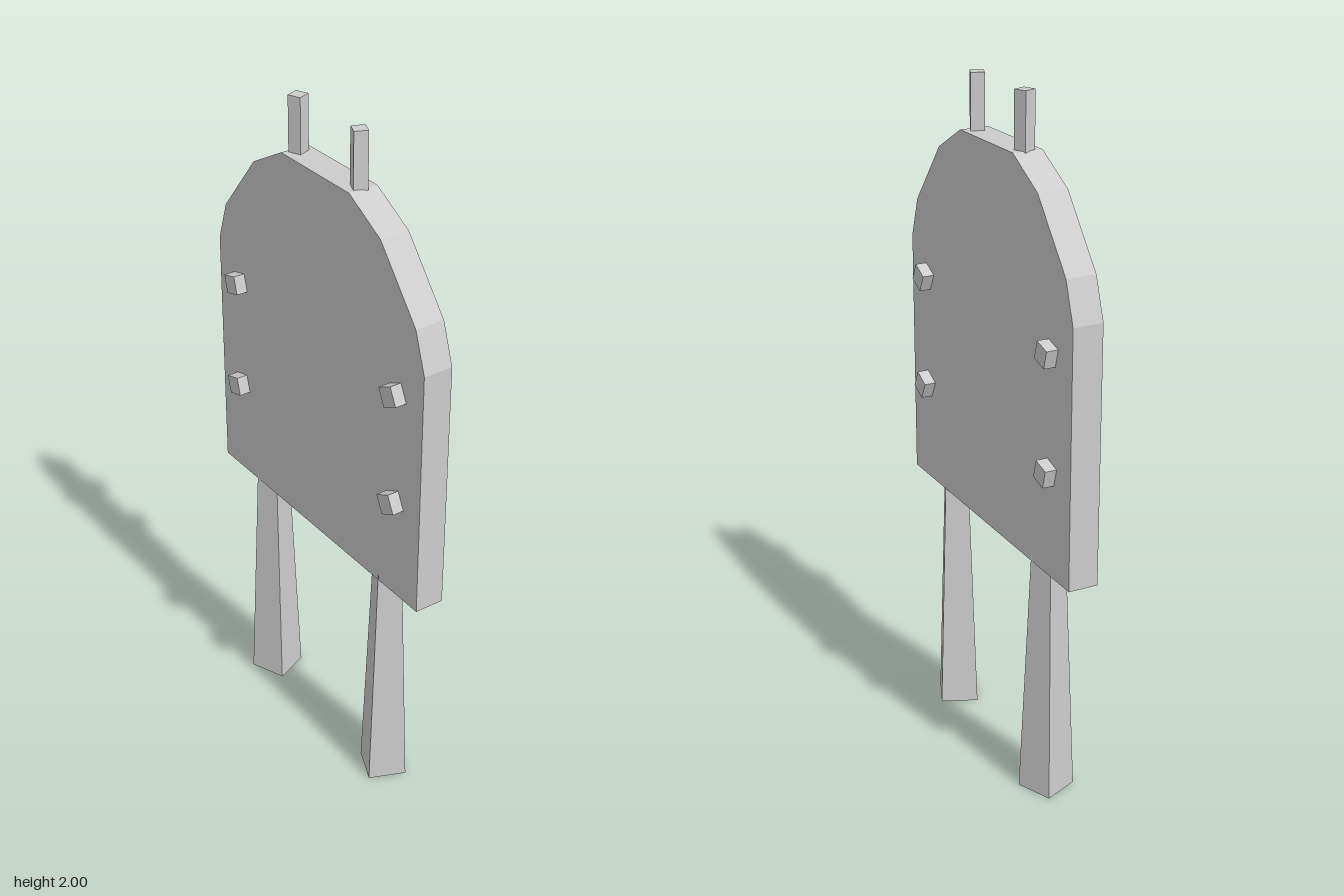
import * as THREE from 'three';

export function createModel() {
  const model = new THREE.Group();
  const grey = new THREE.MeshStandardMaterial({ color: 0xcccccc, flatShading: true });

  const add = (name, geometry, x, y, z) => {
    const mesh = new THREE.Mesh(geometry, grey);
    mesh.name = name;
    mesh.position.set(x, y, z);
    model.add(mesh);
    return mesh;
  };

  // Slab with a faceted arched top, extruded across x
  const half = [[0.484, 0.725], [0.484, 1.466], [0.444, 1.583], [0.291, 1.768], [0.155, 1.842]];
  const outline = [...half, ...half.map(([z, y]) => [-z, y]).reverse()];
  const shape = new THREE.Shape(outline.map(([z, y]) => new THREE.Vector2(z, y)));
  const slab = new THREE.ExtrudeGeometry(shape, { depth: 0.088, bevelEnabled: false });
  slab.translate(0, 0, -0.044).rotateY(-Math.PI / 2);
  add('slab', slab, 0, 0, 0);

  // Four-sided post, twisted about its own axis
  const post = (name, rTop, rBottom, y0, y1, z, twist) => {
    const geometry = new THREE.CylinderGeometry(rTop, rBottom, y1 - y0, 4);
    add(name, geometry, 0, (y0 + y1) / 2, z).rotation.y = twist;
  };

  for (const side of [1, -1]) {
    const end = side > 0 ? 'front' : 'back';
    // Tapered legs and top pegs mirror each other front to back
    post(end + 'Leg', 0.043, 0.0795, 0, 0.87, side * 0.291, side * 0.385);
    post(end + 'TopPeg', 0.0275, 0.0275, 1.8, 2, side * 0.137, side * 0.39);

    // Small tilted square studs passing through the slab
    const size = side > 0 ? 0.056 : 0.054;
    for (const [level, y] of [['Lower', 1.032], ['Upper', 1.366]]) {
      const stud = add(end + level + 'Stud', new THREE.BoxGeometry(0.156, size, size), 0, y, side * 0.376);
      stud.rotation.x = side > 0 ? -0.46 : -0.27;
    }
  }

  return model;
}
